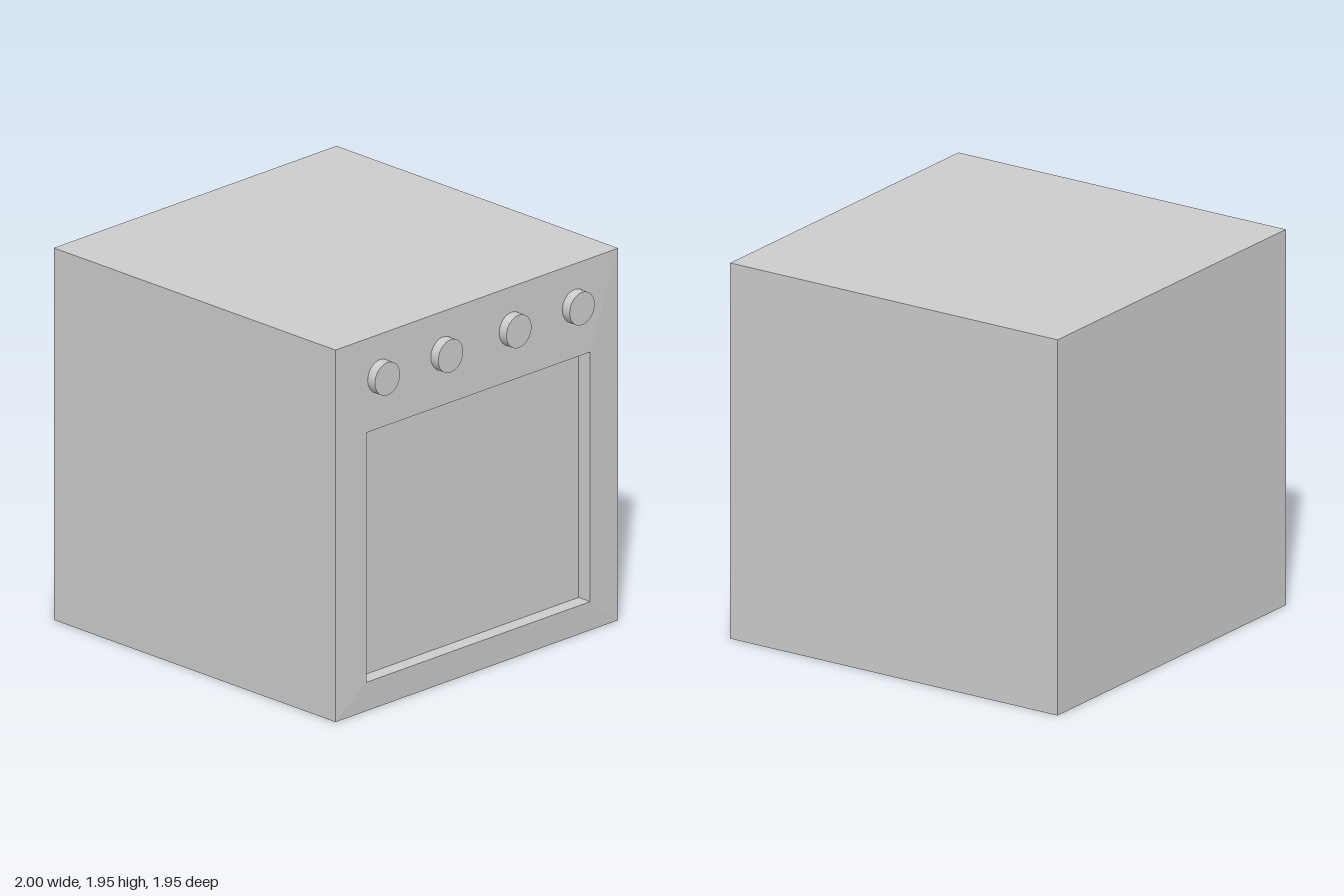
import * as THREE from 'three';

const HALF = 0.973, HEIGHT = 1.945;

// Rectangular ring in the plane x, counter-clockwise seen from +x
function ring(x, halfZ, y0, y1) {
  return [[x, y0, halfZ], [x, y0, -halfZ], [x, y1, -halfZ], [x, y1, halfZ]];
}

// Flat-shaded skin across consecutive rings, optionally capped at either end
function loft(rings, capStart, capEnd) {
  const pos = [];
  const quad = (a, b, c, d) => pos.push(...a, ...b, ...c, ...a, ...c, ...d);
  for (let r = 0; r < rings.length - 1; r++) {
    const a = rings[r], b = rings[r + 1];
    for (let i = 0; i < 4; i++) {
      const j = (i + 1) % 4;
      quad(a[i], a[j], b[j], b[i]);
    }
  }
  if (capStart) quad(...[...rings[0]].reverse());
  if (capEnd) quad(...rings[rings.length - 1]);
  const geo = new THREE.BufferGeometry();
  geo.setAttribute('position', new THREE.Float32BufferAttribute(pos, 3));
  geo.computeVertexNormals();
  return geo;
}

export function createModel() {
  const model = new THREE.Group();
  model.name = 'oven';
  const grey = new THREE.MeshStandardMaterial({ color: 0xcccccc });
  grey.name = 'light grey';

  const add = (geo, name) => {
    const mesh = new THREE.Mesh(geo, grey);
    mesh.name = name;
    model.add(mesh);
    return mesh;
  };

  const back = ring(-1, HALF, 0, HEIGHT);
  const front = ring(0.945, HALF, 0, HEIGHT);
  const rim = ring(0.955, 0.77, 0.155, 1.46);
  const pane = ring(0.875, 0.77, 0.155, 1.46);

  // Cabinet, slightly raised face around the door opening, and recessed window
  add(loft([back, front], true, false), 'cabinet');
  add(loft([front, rim], false, false), 'frontPanel');
  add(loft([rim, pane], false, true), 'windowRecess');

  // Row of control knobs above the window
  const knobGeo = new THREE.CylinderGeometry(0.086, 0.086, 0.06, 32);
  knobGeo.rotateZ(-Math.PI / 2);
  [0.67, 0.235, -0.235, -0.67].forEach((z, i) => {
    add(knobGeo, `knob${i + 1}`).position.set(0.97, 1.727, z);
  });

  return model;
}
